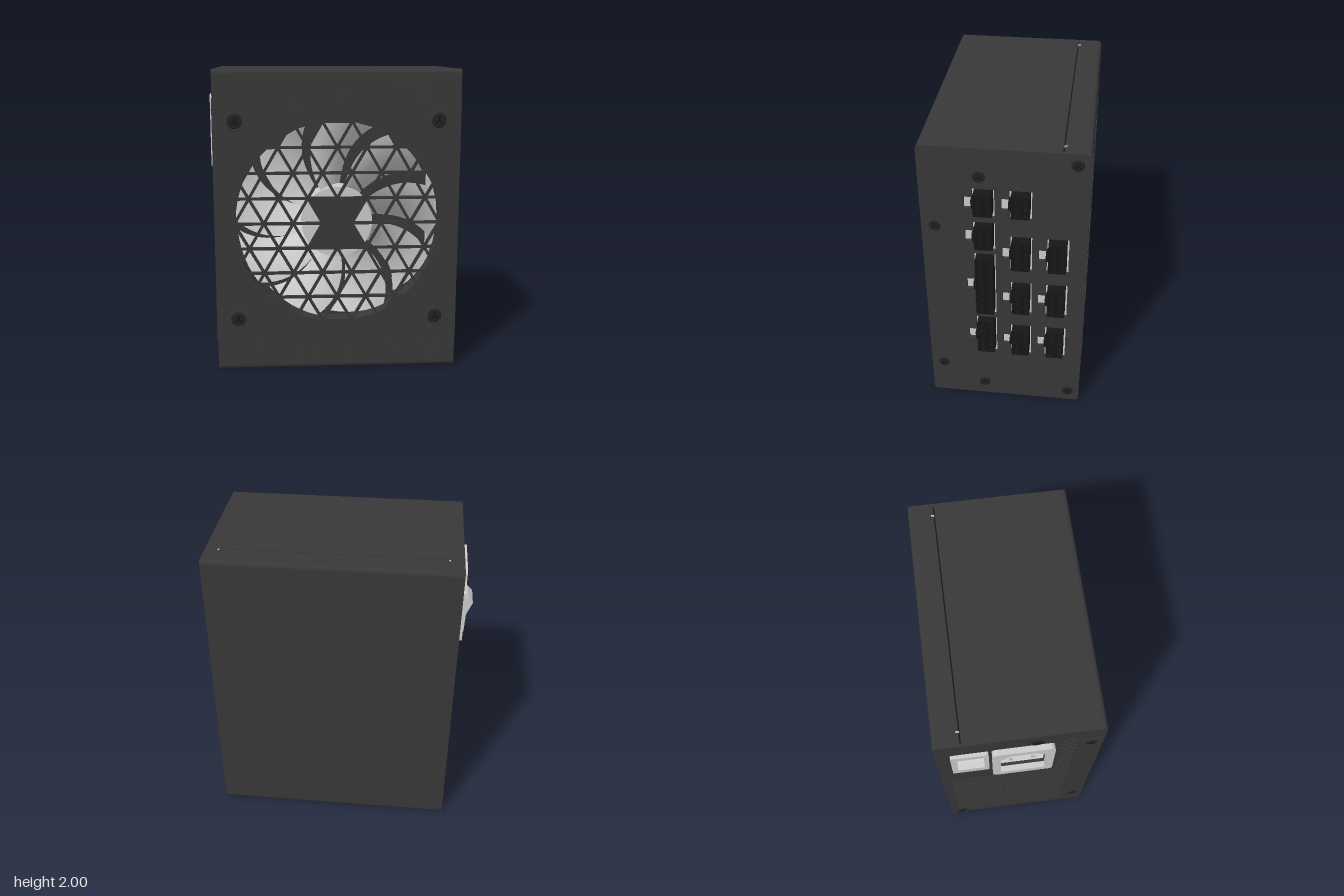
import * as THREE from 'three';
import { mergeGeometries } from 'three/addons/utils/BufferGeometryUtils.js';

const CX = 0.015, LEFT = -0.785, RIGHT = 0.815, W = RIGHT - LEFT, T = 0.02;
const mat = (color, side = THREE.FrontSide) =>
  new THREE.MeshStandardMaterial({ color, side });
const dark = mat(0x383838), black = mat(0x161616), screwMat = mat(0x222222);
const grey = mat(0xcccccc), greyThin = mat(0xcccccc, THREE.DoubleSide);
const V = (x, y) => new THREE.Vector2(x, y);

export function createModel() {
  const model = new THREE.Group();
  const add = (name, geo, material, parent = model) => {
    const m = new THREE.Mesh(geo, material);
    m.name = name;
    parent.add(m);
    return m;
  };
  const box = (name, x0, x1, y0, y1, z0, z1, material) =>
    add(name, new THREE.BoxGeometry(x1 - x0, y1 - y0, z1 - z0)
      .translate((x0 + x1) / 2, (y0 + y1) / 2, (z0 + z1) / 2), material);
  const extrude = (shape, depth) =>
    new THREE.ExtrudeGeometry(shape, { depth, bevelEnabled: false, curveSegments: 5 });
  // Extrude a shape drawn in (-z, y) along +x from x0
  const alongX = (shape, x0, depth) =>
    extrude(shape, depth).rotateY(Math.PI / 2).translate(x0, 0, 0);

  // Rounded rectangle in (-z, y)
  const rounded = (z0, z1, y0, y1, r, Type = THREE.Shape) => {
    const a = -z1, b = -z0, s = new Type();
    s.moveTo(a + r, y0).lineTo(b - r, y0).quadraticCurveTo(b, y0, b, y0 + r)
      .lineTo(b, y1 - r).quadraticCurveTo(b, y1, b - r, y1)
      .lineTo(a + r, y1).quadraticCurveTo(a, y1, a, y1 - r)
      .lineTo(a, y0 + r).quadraticCurveTo(a, y0, a + r, y0);
    return s;
  };
  const rectHole = (z0, z1, y0, y1) =>
    new THREE.Path([V(-z1, y0), V(-z0, y0), V(-z0, y1), V(-z1, y1)]);
  const ngon = (x, y, r, n, turn = 0) => Array.from({ length: n }, (_, i) => {
    const a = turn + i * 2 * Math.PI / n;
    return V(x + r * Math.cos(a), y + r * Math.sin(a));
  });

  // Clip a convex polygon to another convex, counter-clockwise one
  const clip = (poly, frame) => frame.reduce((pts, a, i) => {
    const b = frame[(i + 1) % frame.length];
    const side = p => (b.x - a.x) * (p.y - a.y) - (b.y - a.y) * (p.x - a.x);
    return pts.flatMap((p, k) => {
      const q = pts[(k + 1) % pts.length], sp = side(p), sq = side(q);
      const out = sp >= 0 ? [p] : [];
      if (sp * sq < 0) out.push(p.clone().lerp(q, sp / (sp - sq)));
      return out;
    });
  }, poly);

  // Front panel with triangular fan grille
  const front = new THREE.Shape([V(LEFT, 0.03), V(RIGHT, 0.03), V(RIGHT, 1.97), V(LEFT, 1.97)]);
  const S = 0.193, H = S * Math.sqrt(3) / 2, rim = ngon(CX, 1, 0.675, 24, Math.PI / 24);
  for (let row = -4; row < 4; row++) for (let k = -10; k <= 10; k++) {
    const up = (k + row) % 2 === 0;
    const x = k * S / 2, y = row * H + (up ? H / 3 : 2 * H / 3);
    if (Math.hypot(x, y) < 0.15) continue;
    const tri = ngon(CX + x, 1 + y, S / Math.sqrt(3) - 0.018, 3, up ? Math.PI / 2 : -Math.PI / 2);
    const cell = clip(tri, rim);
    if (cell.length > 2 && Math.abs(THREE.ShapeUtils.area(cell)) > 0.0015)
      front.holes.push(new THREE.Path(cell));
  }
  add('frontGrillePanel', extrude(front, T).translate(0, 0, 0.49), dark);

  // Folded top, bottom and back sheets, parted by a seam
  const fold = (sign, zs, zc) => {           // bend at a corner, from seam zs to wall zc
    const d = Math.sign(zc), Y = y => sign > 0 ? y : 2 - y, r = 0.03;
    const s = new THREE.Shape();
    s.moveTo(-zs, Y(2)).lineTo(-(zc - d * r), Y(2))
      .quadraticCurveTo(-zc, Y(2), -zc, Y(2 - r))
      .lineTo(-(zc - d * T), Y(2 - r)).lineTo(-(zc - d * T), Y(2 - T)).lineTo(-zs, Y(2 - T));
    return alongX(s, LEFT, W);
  };
  for (const s of [1, -1]) {
    const n = s > 0 ? 'top' : 'bottom';
    add(n + 'Sheet', fold(s, -0.341, 0.51), dark);
    add(n + 'BackLip', fold(s, -0.349, -0.51), dark);
    const y = s > 0 ? 1.97 : 0.015;
    box(n + 'SeamBacking', LEFT + 0.01, RIGHT - 0.01, y, y + 0.015, -0.38, -0.31, black);
    for (const x of [-0.695, 0.73])
      box(n + 'SeamNotch', x - 0.005, x + 0.005, s > 0 ? 1.99 : -0.0005, s > 0 ? 2.0005 : 0.01, -0.365, -0.345, grey);
  }
  box('backPanel', LEFT, RIGHT, 0.03, 1.97, -0.51, -0.49, dark);

  // Sparse embossed strokes following a triangular lattice
  let seed = 7;
  const rnd = () => (seed = seed * 16807 % 2147483647) / 2147483647;
  const strokes = (name, z, y0, y1, density) => {
    const parts = [];
    for (let j = 0, y = y0; y <= y1; y = y0 + ++j * 0.07) for (let i = -8; i <= 8; i++) {
      if (rnd() > density) continue;
      const turn = Math.floor(rnd() * 3) * Math.PI / 3;
      parts.push(new THREE.BoxGeometry(0.06, 0.007, 0.006).rotateZ(turn)
        .translate(CX + (i + (j % 2) / 2) * 0.08, y, z));
    }
    add(name, mergeGeometries(parts), dark);
  };
  strokes('backStrokes', -0.51, 0.18, 1.84, 0.6);
  strokes('frontUpperStrokes', 0.51, 1.76, 1.9, 0.6);
  strokes('frontLowerStrokes', 0.51, 0.1, 0.24, 0.6);

  // Fan: frame, hub and swept, twisted blades
  const fan = new THREE.Group();
  fan.name = 'fan';
  fan.position.set(CX, 1, 0);
  model.add(fan);
  add('fanFrame', new THREE.CylinderGeometry(0.7, 0.7, 0.2, 48, 1, true)
    .rotateX(Math.PI / 2).translate(0, 0, 0.39), mat(0x383838, THREE.DoubleSide), fan);
  add('fanHub', new THREE.CylinderGeometry(0.235, 0.235, 0.18, 40)
    .rotateX(Math.PI / 2).translate(0, 0, 0.375), grey, fan);
  const blade = new THREE.PlaneGeometry(1, 1, 10, 6), p = blade.attributes.position;
  for (let i = 0; i < p.count; i++) {
    const u = p.getX(i) + 0.5, v = p.getY(i), r = 0.22 + 0.45 * u;
    const a = v * (0.62 - 0.06 * u) - 0.3 * u * u;
    p.setXYZ(i, r * Math.cos(a), r * Math.sin(a), 0.375 + v * (0.16 - 0.03 * u) - 0.08 * v * v);
  }
  blade.computeVertexNormals();
  for (let i = 0; i < 9; i++)
    add('fanBlade', blade, greyThin, fan).rotation.z = 0.35 + i * 2 * Math.PI / 9;
  for (let i = 0; i < 4; i++)
    add('fanStrut', new THREE.BoxGeometry(0.5, 0.05, 0.03).translate(0.45, 0, 0.275), dark, fan)
      .rotation.z = Math.PI / 4 + i * Math.PI / 2;

  // Right side: connector layout as [z0, y0, y1, pin rows]
  const sockets = [
    [0.06, 1.525, 1.725, 3], [0.06, 1.275, 1.485, 3], [0.06, 0.75, 1.245, 9], [0.06, 0.41, 0.72, 5],
    [-0.165, 1.525, 1.725, 3],
    ...[1.13, 0.77, 0.405].flatMap(y => [[-0.168, y, y + 0.262, 4], [-0.395, y, y + 0.262, 4]]),
  ];
  const right = rounded(-0.51, 0.51, 0, 2, 0.03);
  for (const [z, y0, y1, rows] of sockets) {
    const m = (y0 + y1) / 2, z1 = z + 0.13;
    right.holes.push(new THREE.Path([V(-z1, y0), V(-z + 0.006, y0), V(-z + 0.006, y1), V(-z1, y1),
      V(-z1, m + 0.04), V(-z1 - 0.05, m + 0.04), V(-z1 - 0.05, m - 0.04), V(-z1, m - 0.04)]));
    // Housing with open pin cells and a latch
    const b0 = y0 + 0.022, b1 = y1 - 0.022, step = (b1 - b0) / rows;
    const body = rounded(z + 0.006, z + 0.12, b0, b1, 0.006);
    for (let r = 0; r < rows; r++) for (const c of [0.035, 0.091])
      body.holes.push(new THREE.Path(ngon(-(z + c), b0 + (r + 0.5) * step, 0.021, 8, Math.PI / 8)));
    add('connectorHousing', alongX(body, 0.77, 0.08), black);
    box('connectorFloor', 0.77, 0.815, b0, b1, z + 0.01, z + 0.116, black);
    box('connectorLatch', 0.77, 0.835, m - 0.03, m + 0.03, z + 0.115, z + 0.135, black);
  }
  add('rightPanel', alongX(right, RIGHT - T, T), dark);
  box('connectorBoard', 0.765, 0.775, 0.36, 1.77, -0.43, 0.26, grey);

  // Left side: honeycomb vent with openings for the inlet and switch
  const left = rounded(-0.51, 0.51, 0, 2, 0.03);
  left.holes.push(rectHole(-0.12, 0.16, 1.4, 1.77));
  const leftScrews = [[0.1, 1.89], [0.1, 1.25], [0.43, 1.75], [0.43, 0.26], [-0.43, 0.085]];
  for (let j = 0; j < 42; j++) for (let i = 0; i < 17; i++) {
    const z = -0.44 + (i + (j % 2) / 2) * 0.048, y = 0.1 + j * 0.0425;
    const blocked = (y > 1.2 && z < 0.25) || z > 0.35
      || leftScrews.some(([a, b]) => Math.hypot(z - a, y - b) < 0.085);
    if (!blocked) left.holes.push(new THREE.Path(ngon(-z, y, 0.02, 6, Math.PI / 6)));
  }
  add('leftVentPanel', alongX(left, LEFT, T), dark);

  // Front cover tabs folded over both sides
  for (const x of [LEFT - 0.004, RIGHT - 0.002])
    add('coverTab', alongX(rounded(0.355, 0.505, 0.19, 1.82, 0.02), x, 0.006), dark);

  // Power inlet
  const opening = () => new THREE.Path([V(-0.16, 1.4), V(0.12, 1.4), V(0.12, 1.7),
    V(0.06, 1.77), V(-0.1, 1.77), V(-0.16, 1.7)]);
  const flange = rounded(-0.17, 0.21, 1.335, 1.83, 0.035);
  flange.holes.push(opening());
  add('inletFlange', alongX(flange, -0.822, 0.037), grey);
  const sleeve = rounded(-0.14, 0.18, 1.38, 1.79, 0.01);
  sleeve.holes.push(opening());
  add('inletSleeve', alongX(sleeve, -0.765, 0.14), grey);
  box('inletFloor', -0.64, -0.62, 1.38, 1.79, -0.14, 0.18, grey);
  for (const [z, y] of [[0.02, 1.66], [-0.05, 1.53], [0.09, 1.53]])
    box('inletPin', -0.78, -0.63, y - 0.035, y + 0.035, z - 0.012, z + 0.012, grey);

  // Rocker switch
  add('switchFrame', alongX(rounded(-0.42, -0.19, 1.46, 1.82, 0.015), -0.808, 0.03), grey);
  const rocker = new THREE.Shape([V(-0.8, 1.51), V(-0.8, 1.765), V(-0.825, 1.755),
    V(-0.855, 1.725), V(-0.82, 1.64), V(-0.815, 1.51)]);
  add('switchRocker', extrude(rocker, 0.16).translate(0, 0, -0.38), grey);

  // Screws: head with a dark three-wing recess, facing +z before turning
  const screw = (x, y, z, r, turn) => {
    const g = new THREE.Group();
    g.name = 'screw';
    add('screwHead', new THREE.CylinderGeometry(r * 0.85, r, 0.012, 24).rotateX(Math.PI / 2), screwMat, g);
    for (let i = 0; i < 3; i++)
      add('screwRecess', new THREE.BoxGeometry(r * 0.55, r * 0.2, 0.004).translate(r * 0.3, 0, 0.006), black, g)
        .rotation.z = Math.PI / 2 + i * 2 * Math.PI / 3;
    g.position.set(x, y, z);
    g.rotation.y = turn;
    model.add(g);
  };
  for (const x of [-0.66, 0.66]) for (const y of [0.35, 1.67]) {
    screw(CX + x, y, 0.512, 0.05, 0);
    add('screwSeat', new THREE.TorusGeometry(0.056, 0.007, 6, 28).translate(CX + x, y, 0.508), dark);
  }
  for (const [z, y] of [[0.145, 1.81], [-0.43, 1.925], [0.425, 1.44], [0.425, 0.275], [0.145, 0.11], [-0.43, 0.085]])
    screw(RIGHT + 0.003, y, z, 0.04, Math.PI / 2);
  for (const [z, y] of leftScrews) screw(LEFT - 0.003, y, z, 0.04, -Math.PI / 2);
  return model;
}
